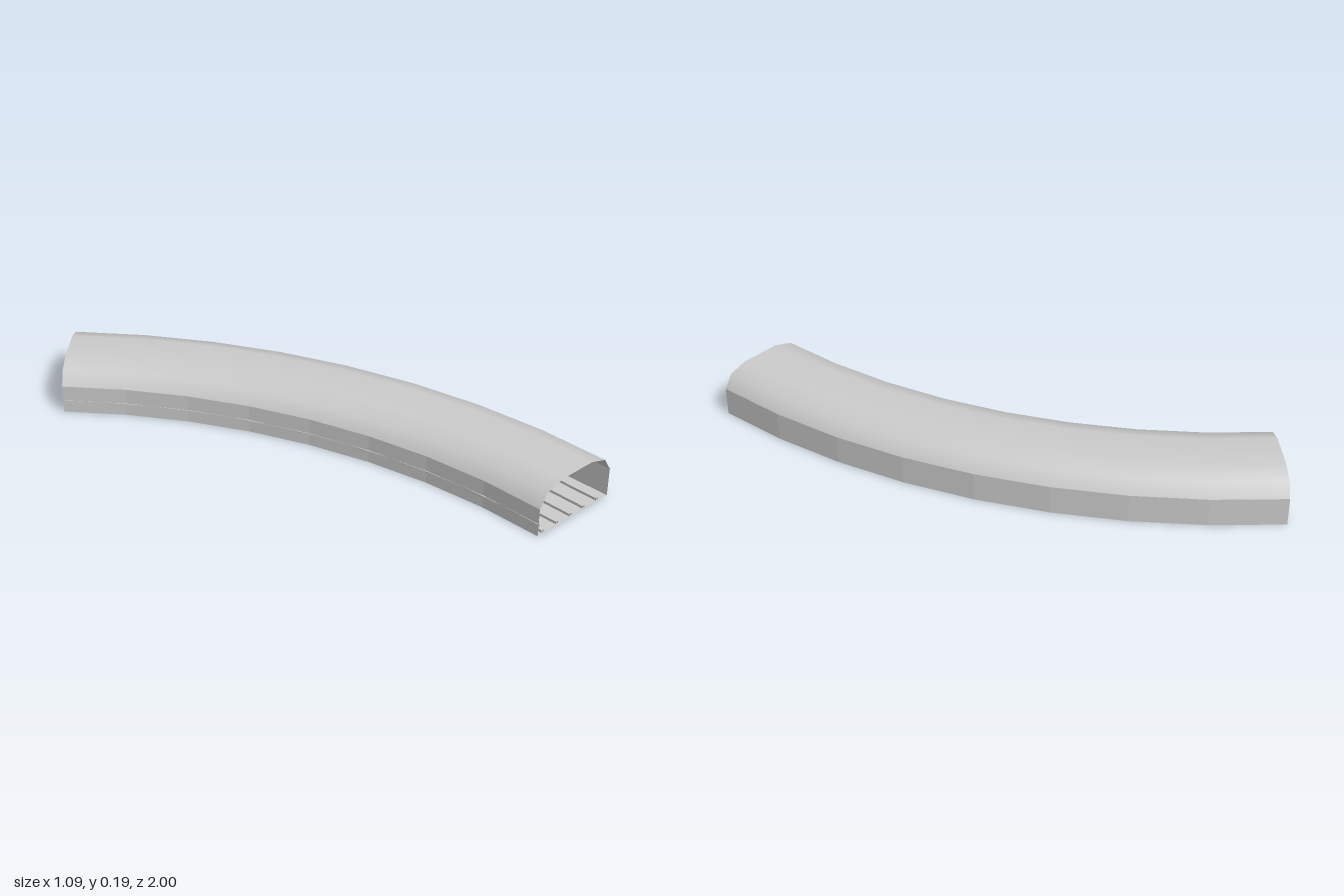
import * as THREE from 'three';

const CENTRE_X = -2.285, CENTRE_Z = 1;   // centre of the bend
const R_IN = 2.46, R_OUT = 2.828;        // inner and outer wall radius
const WALL = 0.11, HEIGHT = 0.185;

const smooth = new THREE.MeshStandardMaterial({ color: 0xcccccc, side: THREE.DoubleSide });
const flat = new THREE.MeshStandardMaterial({ color: 0xcccccc, side: THREE.DoubleSide, flatShading: true });

// Sweep a (radius, height) profile through the 45 degree bend
function bend(name, profile, material, segments = 8) {
  const points = profile.map(([r, y]) => new THREE.Vector2(r, y));
  const geometry = new THREE.LatheGeometry(points, segments, Math.PI / 2, Math.PI / 4);
  const mesh = new THREE.Mesh(geometry, material);
  mesh.name = name;
  mesh.position.set(CENTRE_X, 0, CENTRE_Z);
  return mesh;
}

// Thin rectangular strip following the bend
function strip(name, radius, width, y0, y1) {
  const a = radius - width / 2, b = radius + width / 2;
  return bend(name, [[b, y0], [b, y1], [a, y1], [a, y0], [b, y0]], flat, 12);
}

export function createModel() {
  const group = new THREE.Group();
  group.name = 'curvedTunnel';

  // Open-ended shell: two upright walls, chamfered roof and flat floor
  group.add(bend('outerWall', [[R_OUT, 0], [R_OUT, WALL]], flat));
  group.add(bend('roof', [
    [R_OUT, WALL], [R_OUT - 0.033, 0.162], [R_OUT - 0.107, HEIGHT],
    [R_IN + 0.107, HEIGHT], [R_IN + 0.033, 0.162], [R_IN, WALL],
  ], smooth));
  group.add(bend('innerWall', [[R_IN, WALL], [R_IN, 0]], flat));
  group.add(bend('floor', [[R_IN, 0], [R_OUT, 0]], flat));

  // Narrow strips running along the floor
  [0.025, 0.1, 0.17, 0.24, 0.312].forEach((offset, i) => {
    group.add(strip(`floorStrip${i + 1}`, R_IN + offset, 0.01, 0.004, 0.014));
  });

  // Strip let into the inner wall
  group.add(strip('wallStrip', R_IN + 0.001, 0.008, 0.038, 0.05));

  return group;
}
